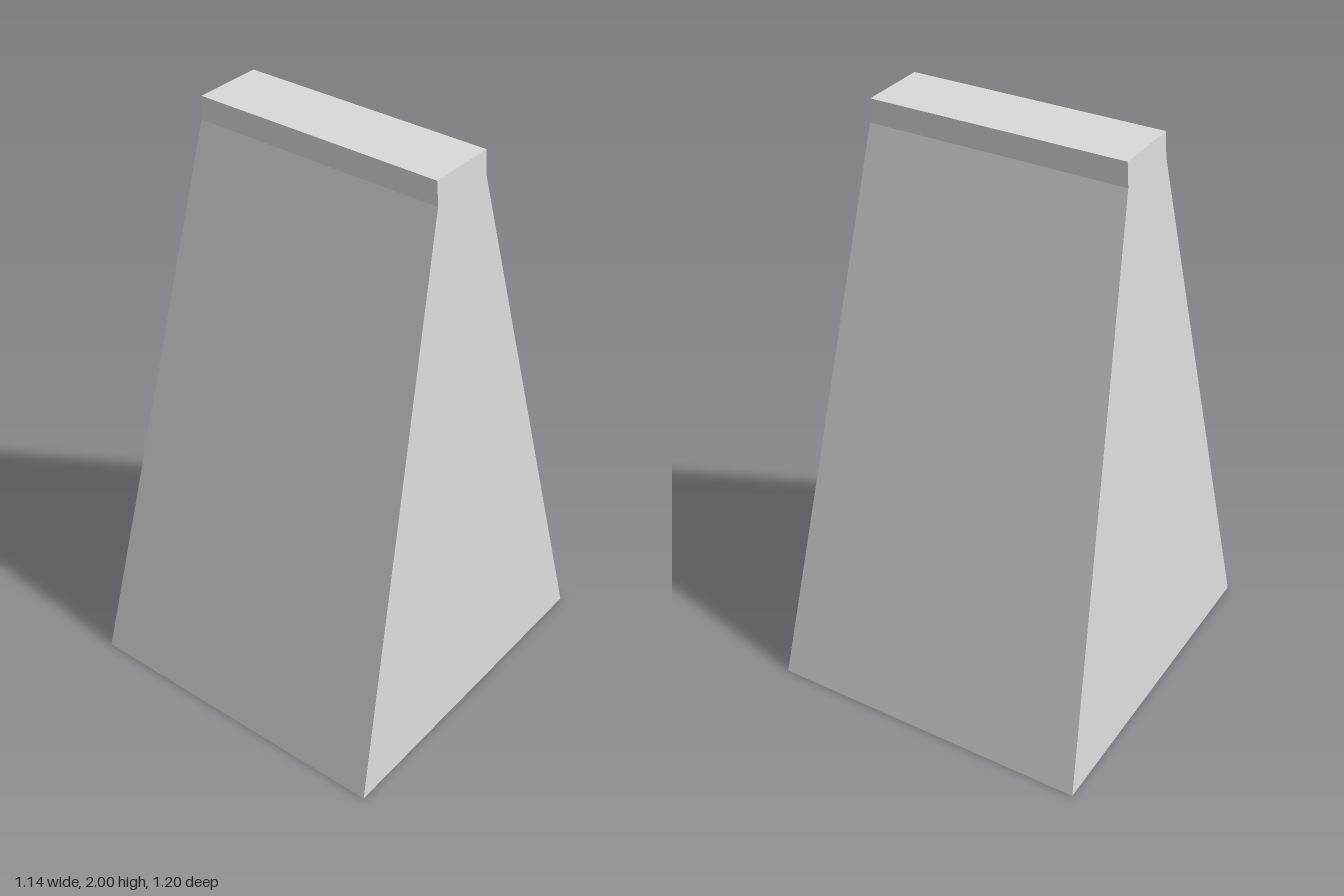
import * as THREE from 'three';

// half width (x) and half depth (z) of the sign at height y
const halfWidth = (y) => 0.57 - 0.0675 * y;
const halfDepth = (y) => Math.max(0.12, 0.6 - 0.25 * y);

// flat-shaded geometry from quads given as four counter-clockwise corners
function quads(list) {
  const pos = [];
  for (const [a, b, c, d] of list) pos.push(...a, ...b, ...c, ...a, ...c, ...d);
  const geo = new THREE.BufferGeometry();
  geo.setAttribute('position', new THREE.Float32BufferAttribute(pos, 3));
  geo.computeVertexNormals();
  return geo;
}

// four corners of the horizontal section at height y
function ring(y) {
  const x = halfWidth(y), z = halfDepth(y);
  return [[-x, y, z], [x, y, z], [x, y, -z], [-x, y, -z]];
}

export function createModel() {
  const group = new THREE.Group();
  const plastic = new THREE.MeshStandardMaterial({ color: 0xd9d9d9, side: THREE.DoubleSide });
  plastic.name = 'light grey plastic';

  const add = (name, geo) => {
    const mesh = new THREE.Mesh(geo, plastic);
    mesh.name = name;
    group.add(mesh);
    return mesh;
  };

  // hollow tapering shell, open underneath, with an upright band at the top
  const wall = (y0, y1) => {
    const lo = ring(y0), hi = ring(y1);
    return lo.map((p, i) => [p, lo[(i + 1) % 4], hi[(i + 1) % 4], hi[i]]);
  };
  add('body', quads(wall(0, 1.92)));
  add('topBand', quads(wall(1.92, 2)));
  add('topCap', quads([ring(2)]));

  // sign panels lying just off the sloping front and back
  const panel = (y0, y1) => {
    const corner = (s, y) => [s * (halfWidth(y) - 0.062), y, halfDepth(y) + 0.009];
    return quads([[corner(-1, y0), corner(1, y0), corner(1, y1), corner(-1, y1)]]);
  };
  for (const [side, turn] of [['front', 0], ['back', Math.PI]]) {
    add(side + 'LowerPanel', panel(0.6, 1.025)).rotation.y = turn;
    add(side + 'UpperPanel', panel(1.145, 1.325)).rotation.y = turn;
  }
  return group;
}
